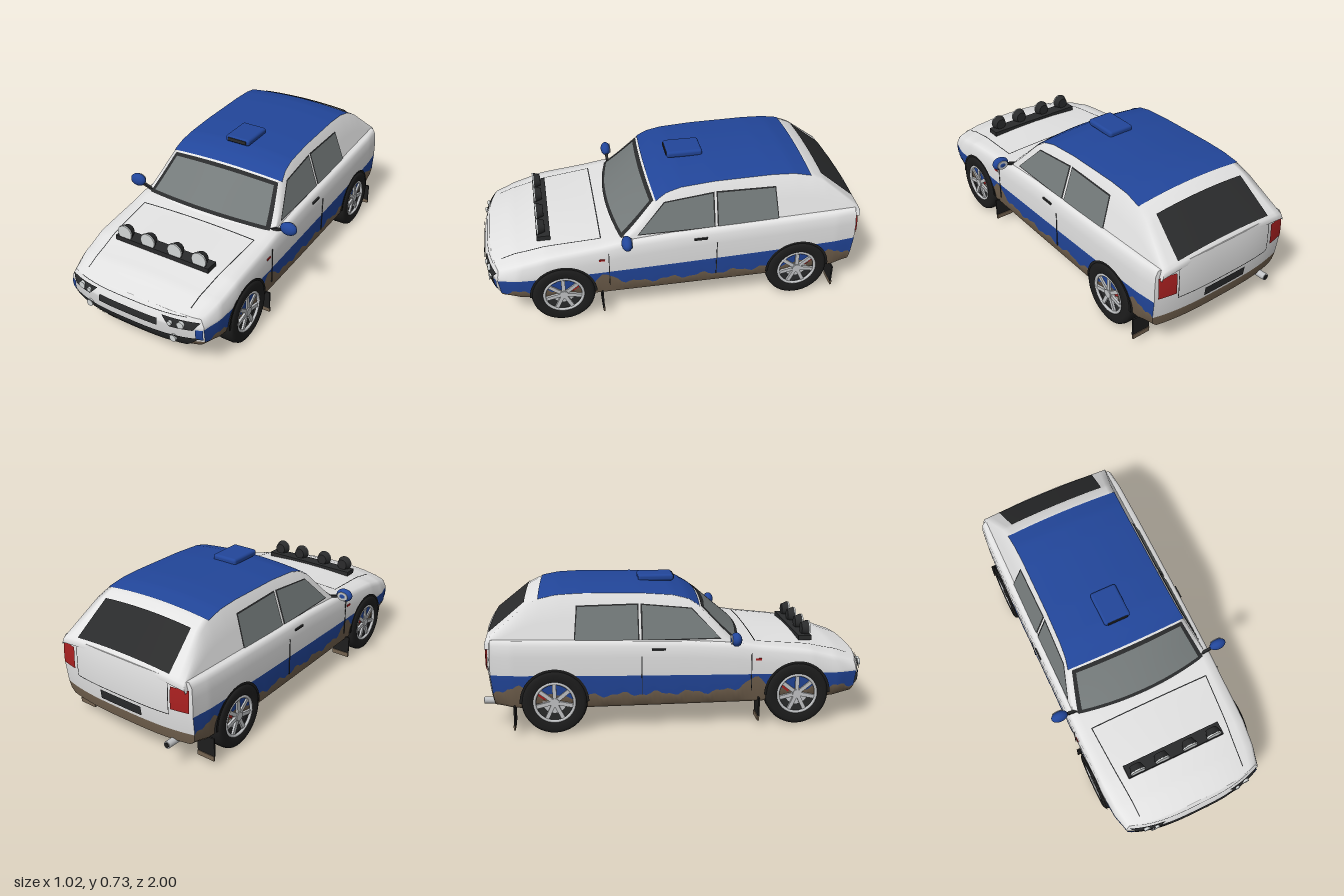
import * as THREE from 'three';
import { RoundedBoxGeometry } from 'three/addons/geometries/RoundedBoxGeometry.js';

const paint = (name, color) => {
  const m = new THREE.MeshStandardMaterial({ color, side: THREE.DoubleSide });
  m.name = name;
  return m;
};
const smooth = (a, b, t) => THREE.MathUtils.smoothstep(t, a, b);
const lerp = THREE.MathUtils.lerp;

// Linear lookup in rows [key, value...] with falling keys
function lut(rows, k, col = 1) {
  if (k >= rows[0][0]) return rows[0][col];
  for (let i = 1; i < rows.length; i++) {
    const a = rows[i - 1], b = rows[i];
    if (k >= b[0]) return lerp(b[col], a[col], (k - b[0]) / (a[0] - b[0]));
  }
  return rows[rows.length - 1][col];
}

// z, floor, shoulder, centre height, half width
const BODY = [
  [0.99, 0.15, 0.315, 0.338, 0.39], [0.9, 0.135, 0.35, 0.38, 0.415], [0.7, 0.125, 0.385, 0.412, 0.426],
  [0.4, 0.12, 0.42, 0.435, 0.428], [0.3, 0.12, 0.437, 0.45, 0.428], [0, 0.12, 0.457, 0.462, 0.428],
  [-0.6, 0.12, 0.475, 0.476, 0.426], [-0.85, 0.13, 0.482, 0.485, 0.422], [-0.99, 0.15, 0.485, 0.492, 0.412]];
// z, centre height of windscreen, roof and rear window
const ROOF = [
  [0.36, 0.43], [0.11, 0.64], [0.05, 0.672], [-0.03, 0.692], [-0.2, 0.705], [-0.5, 0.71], [-0.62, 0.705],
  [-0.72, 0.685], [-0.78, 0.655], [-0.97, 0.5], [-1, 0.47]];
const STRIPE = [[0.99, 0.265], [0.3, 0.278], [-0.3, 0.292], [-0.99, 0.312]];

// Rounds the nose and tail
function warp(x, y, z) {
  const c = Math.abs(x / 0.42) ** 3;
  return [x, y, z - smooth(0.6, 1, z) * (0.08 * c + 4 * (y - 0.245) ** 2)
    + smooth(0.8, 1, -z) * (0.04 * c + 0.6 * (y - 0.35) ** 2)];
}
const mudLine = z => Math.min(lut(STRIPE, z) - 0.012, 0.193 + 0.06 * Math.exp(-(((z - 0.38) / 0.08) ** 2))
  + 0.055 * Math.exp(-(((z + 0.85) / 0.12) ** 2)) + 0.01 * Math.sin(37 * z) + 0.006 * Math.sin(83 * z));
const crown = (f, z) => lut(BODY, z, 3) - (lut(BODY, z, 3) - lut(BODY, z, 2)) * (f / 0.95) ** 2;

// Half outline of the body, from sill to centre of the top
function section(z) {
  const floor = lut(BODY, z, 1), sh = lut(BODY, z, 2), w = lut(BODY, z, 4), stripe = lut(STRIPE, z);
  return [[0.92, floor], [0.975, floor + 0.02], [0.995, mudLine(z)], [1, stripe],
    [1, Math.max(stripe + 0.01, sh - 0.08)], [0.985, sh - 0.025], [0.95, sh],
    ...[0.85, 0.6, 0.3, 0].map(f => [f, crown(f, z)])].map(([x, y]) => [x * w, y]);
}
const cabinX = y => 0.385 - (y - 0.46) * 0.33;
const cabinZ = (x, z) => z - smooth(0, 0.3, z) * 0.04 * (x / 0.35) ** 2;

// Surface over (i, j); mats may hold one material per i strip
function grid(ni, nj, f, mats) {
  const pos = [], idx = [], g = new THREE.BufferGeometry();
  for (let i = 0; i <= ni; i++) for (let j = 0; j <= nj; j++) pos.push(...f(i, j));
  for (let i = 0; i < ni; i++) {
    for (let j = 0; j < nj; j++) {
      const a = i * (nj + 1) + j, b = a + nj + 1;
      idx.push(a, b, b + 1, a, b + 1, a + 1);
    }
    if (Array.isArray(mats)) g.addGroup(i * nj * 6, nj * 6, i);
  }
  g.setAttribute('position', new THREE.Float32BufferAttribute(pos, 3));
  g.setIndex(idx);
  g.computeVertexNormals();
  return new THREE.Mesh(g, mats);
}

export function createModel() {
  const car = new THREE.Group();
  const white = paint('white paint', 0xe2e2e2), blue = paint('blue paint', 0x22469a), mud = paint('mud', 0x73624f),
    black = paint('black trim', 0x2a2b2c), rubber = paint('rubber', 0x1d1d1d), glass = paint('window glass', 0x747a7a),
    silver = paint('silver', 0xc3c5c7), red = paint('red', 0xa82020), lamp = paint('lamp glass', 0xd2d6d6);
  const add = (name, mesh, x = 0, y = 0, z = 0, parent = car) => {
    mesh.name = name;
    mesh.position.set(x, y, z);
    parent.add(mesh);
    return mesh;
  };
  const box = (name, mat, w, h, d, x, y, z, parent) =>
    add(name, new THREE.Mesh(new THREE.BoxGeometry(w, h, d), mat), x, y, z, parent);
  const disc = (name, mat, r, d, x, y, z, axis = 'z', r2 = r, parent = car) => {
    const g = new THREE.CylinderGeometry(r, r2, d, 28);
    axis === 'z' ? g.rotateX(Math.PI / 2) : g.rotateZ(Math.PI / 2);
    return add(name, new THREE.Mesh(g, mat), x, y, z, parent);
  };
  // Four-cornered thin panel laid on a surface map
  const panel = (name, mat, [a, b, c, d], map, e, n = 12) => add(name, grid(n, n, (i, j) => {
    const u = i / n, v = j / n;
    const p = k => lerp(lerp(a[k], b[k], u), lerp(d[k], c[k], u), v);
    return map(p(0), p(1), e);
  }, mat));
  const rect = (x0, y0, x1, y1) => [[x0, y0], [x1, y0], [x1, y1], [x0, y1]];
  const nose = (x, y, e) => { const p = warp(x, y, 0.99); p[2] += e; return p; };
  const tail = (x, y, e) => { const p = warp(x, y, -0.99); p[2] -= e; return p; };
  const hood = (x, z, e) => warp(x, crown(x / lut(BODY, z, 4), z) + e, z);
  const top = (u, z, e) => {
    const t = lut(ROOF, z), x = u * cabinX(t - 0.02);
    return [x, t - 0.02 * u * u + e, cabinZ(x, z)];
  };

  // Body shell with mud, stripe and white bands
  const N = 100, zAt = j => lerp(-0.99, 0.99, j / N), rows = section(0).length - 1;
  const bands = i => i < 2 ? mud : i < 3 ? blue : white;
  add('bodyShell', grid(rows * 2, N, (i, j) => {
    const [x, y] = section(zAt(j))[i <= rows ? i : 2 * rows - i];
    return warp(i <= rows ? x : -x, y, zAt(j));
  }, Array.from({ length: rows * 2 }, (_, i) => bands(Math.min(i, 2 * rows - 1 - i)))));
  add('underside', grid(8, N, (i, j) => {
    const [x, y] = section(zAt(j))[0];
    return warp(x * (i / 4 - 1), y, zAt(j));
  }, rubber));
  for (const [name, s] of [['noseFace', 1], ['tailFace', -1]]) {
    const out = section(0.99 * s);
    add(name, grid(rows, 24, (i, j) => warp(out[i][0] * s * (1 - j / 12), out[i][1], 0.99 * s),
      out.slice(1).map((_, i) => i < 2 ? mud : white)));
  }

  // Cabin shell
  const prof = z => {
    const t = lut(ROOF, z), e = t - 0.02, base = Math.min(0.44, e);
    return [...[0, 0.5, 1].map(k => lerp(base, e, k)).map(y => [cabinX(y), y]),
      ...[0.9, 0.6, 0.3, 0].map(f => [f * cabinX(e), t - 0.02 * f * f])];
  };
  add('cabin', grid(12, 90, (i, j) => {
    const z = lerp(-1, 0.36, j / 90), [x, y] = prof(z)[i <= 6 ? i : 12 - i];
    return [i <= 6 ? x : -x, y, Math.max(-0.975, cabinZ(x, z))];
  }, white));
  panel('roofPanel', blue, rect(1, -0.71, -1, 0.115), top, 0.004, 40);
  panel('windscreenFrame', black, rect(0.94, 0.125, -0.94, 0.335), top, 0.005, 20);
  panel('windscreen', glass, rect(0.88, 0.145, -0.88, 0.322), top, 0.009, 20);
  panel('rearWindow', black, [[0.77, -0.962], [-0.77, -0.962], [-0.82, -0.78], [0.82, -0.78]], top, 0.006, 20);

  // Nose: grille, bumper and lamps
  panel('grille', black, rect(-0.17, 0.25, 0.17, 0.286), nose, 0.006);
  panel('bumper', black, [[-0.29, 0.135], [0.29, 0.135], [0.37, 0.215], [-0.37, 0.215]], nose, 0.006, 20);
  panel('bumperMud', mud, [[-0.2, 0.15], [0.2, 0.15], [0.24, 0.16], [-0.24, 0.16]], nose, 0.009);
  panel('hoodEdge', black, rect(-0.31, 0.3175, 0.31, 0.3205), nose, 0.003);
  panel('hoodRearSeam', black, rect(0.34, 0.387, -0.34, 0.393), hood, 0.004);
  box('lightBar', black, 0.55, 0.025, 0.07, 0, 0.418, 0.675);
  for (const x of [-0.22, -0.08, 0.08, 0.22]) {
    disc('spotLampHousing', black, 0.043, 0.035, x, 0.457, 0.682, 'z', 0.03);
    disc('spotLamp', lamp, 0.041, 0.01, x, 0.457, 0.702);
  }

  // Tail
  panel('numberPlate', black, rect(0.13, 0.235, -0.13, 0.285), tail, 0.006);
  panel('tailgateSeam', black, rect(0.29, 0.298, -0.29, 0.302), tail, 0.003);
  disc('exhaust', silver, 0.018, 0.2, -0.29, 0.138, -0.9).rotation.x = 0.05;
  disc('exhaustBore', rubber, 0.013, 0.004, -0.29, 0.143, -1.0);

  // Roof scoop
  add('roofScoop', new THREE.Mesh(new RoundedBoxGeometry(0.145, 0.036, 0.19, 3, 0.014), blue), 0, 0.716, -0.095);
  box('scoopMouth', black, 0.11, 0.018, 0.006, 0, 0.717, 0);

  for (const s of [1, -1]) {
    const flip = pts => pts.map(([x, y]) => [s * x, y]);
    // Lamps, nose corners and hood seams
    panel('headlightPanel', black, flip([[0.235, 0.262], [0.345, 0.262], [0.375, 0.302], [0.19, 0.308]]), nose, 0.006);
    for (const [name, x, y, r] of [['headlamp', 0.29, 0.283, 0.018], ['innerHeadlamp', 0.237, 0.282, 0.012],
      ['fogLamp', 0.248, 0.192, 0.018]])
      disc(name, lamp, r, 0.014, s * x, y, nose(x, y, 0.007)[2]);
    panel('noseStripe', blue, flip(rect(0.355, 0.205, 0.388, 0.265)), nose, 0.004);
    panel('hoodSeam', black, flip([[0.3, 0.96], [0.305, 0.96], [0.34, 0.39], [0.335, 0.39]]), hood, 0.003, 20);
    panel('tailLight', red, flip(rect(0.305, 0.335, 0.4, 0.45)), tail, 0.008);
    panel('tailgateSideSeam', black, flip(rect(0.288, 0.3, 0.292, 0.475)), tail, 0.003);

    // Side windows with frames
    const side = (z, y, e) => [s * (cabinX(y) + e), y, z];
    for (const [name, q] of [
      ['frontSideWindow', [[0.2, 0.465], [-0.19, 0.465], [-0.19, 0.632], [0.06, 0.608]]],
      ['rearSideWindow', [[-0.215, 0.465], [-0.53, 0.47], [-0.515, 0.63], [-0.215, 0.633]]]]) {
      const cz = (q[0][0] + q[1][0]) / 2;
      panel(name + 'Frame', black, q.map(([z, y]) => [cz + (z - cz) * 1.04, 0.55 + (y - 0.55) * 1.08]), side, 0.003, 4);
      panel(name, glass, q, side, 0.006, 4);
    }
    // Door seams, handles and marker
    for (const z of [0.36, -0.2]) box('doorSeam', black, 0.004, 0.2, 0.004, s * 0.428, 0.29, z);
    box('doorHandle', black, 0.012, 0.01, 0.07, s * 0.424, 0.422, -0.115);
    box('sideMarker', red, 0.006, 0.01, 0.03, s * 0.427, 0.355, 0.395);

    // Mirrors
    box('mirrorStalk', black, 0.09, 0.012, 0.015, s * 0.4, 0.45, 0.27).rotation.z = s * 0.3;
    add('mirror', new THREE.Mesh(new THREE.SphereGeometry(1, 20, 14).scale(0.046, 0.035, 0.028), blue), s * 0.466, 0.474, 0.27);
    disc('mirrorGlass', silver, 0.024, 0.004, s * 0.466, 0.474, 0.246).scale.x = 1.3;

    // Wheels, arches and mud flaps
    for (const z of [0.6, -0.64]) {
      const wheel = new THREE.Group();
      add('wheel', wheel, s * 0.385, 0.165, z);
      const h = [[0.104, -0.045], [0.11, -0.054], [0.145, -0.056], [0.16, -0.048], [0.165, -0.03],
        [0.165, 0.03], [0.16, 0.048], [0.145, 0.056], [0.11, 0.054], [0.104, 0.045], [0.1, 0.02]];
      const tyre = new THREE.LatheGeometry(h.map(p => new THREE.Vector2(...p)), 40).rotateZ(Math.PI / 2);
      add('tyre', new THREE.Mesh(tyre, rubber), 0, 0, 0, wheel);
      disc('wheelBack', black, 0.103, 0.06, 0, 0, 0, 'x', 0.103, wheel);
      disc('brakeDisc', silver, 0.06, 0.004, s * 0.031, 0, 0, 'x', 0.06, wheel);
      box('brakeCaliper', red, 0.012, 0.05, 0.024, s * 0.035, 0.035, -0.06, wheel).rotation.x = -0.9;
      add('rim', new THREE.Mesh(new THREE.TorusGeometry(0.1, 0.008, 8, 40).rotateY(Math.PI / 2), silver), s * 0.046, 0, 0, wheel);
      disc('hub', silver, 0.023, 0.02, s * 0.043, 0, 0, 'x', 0.023, wheel);
      for (let k = 0; k < 7; k++) {
        const spoke = new THREE.Group();
        add('spoke', spoke, 0, 0, 0, wheel).rotation.x = k * Math.PI * 2 / 7;
        box('spokeBar', silver, 0.012, 0.085, 0.02, s * 0.042, 0.058, 0, spoke);
      }
      const arch = new THREE.RingGeometry(0.15, 0.173, 32, 1, 0, Math.PI).rotateY(s * Math.PI / 2);
      add('wheelArch', new THREE.Mesh(arch, rubber), s * 0.431, 0.165, z);
      box('mudFlap', rubber, 0.1, 0.1, 0.008, s * 0.392, 0.1, z - 0.2);
      box('mudFlapDirt', mud, 0.1, 0.025, 0.009, s * 0.392, 0.04, z - 0.203);
    }
  }
  return car;
}
